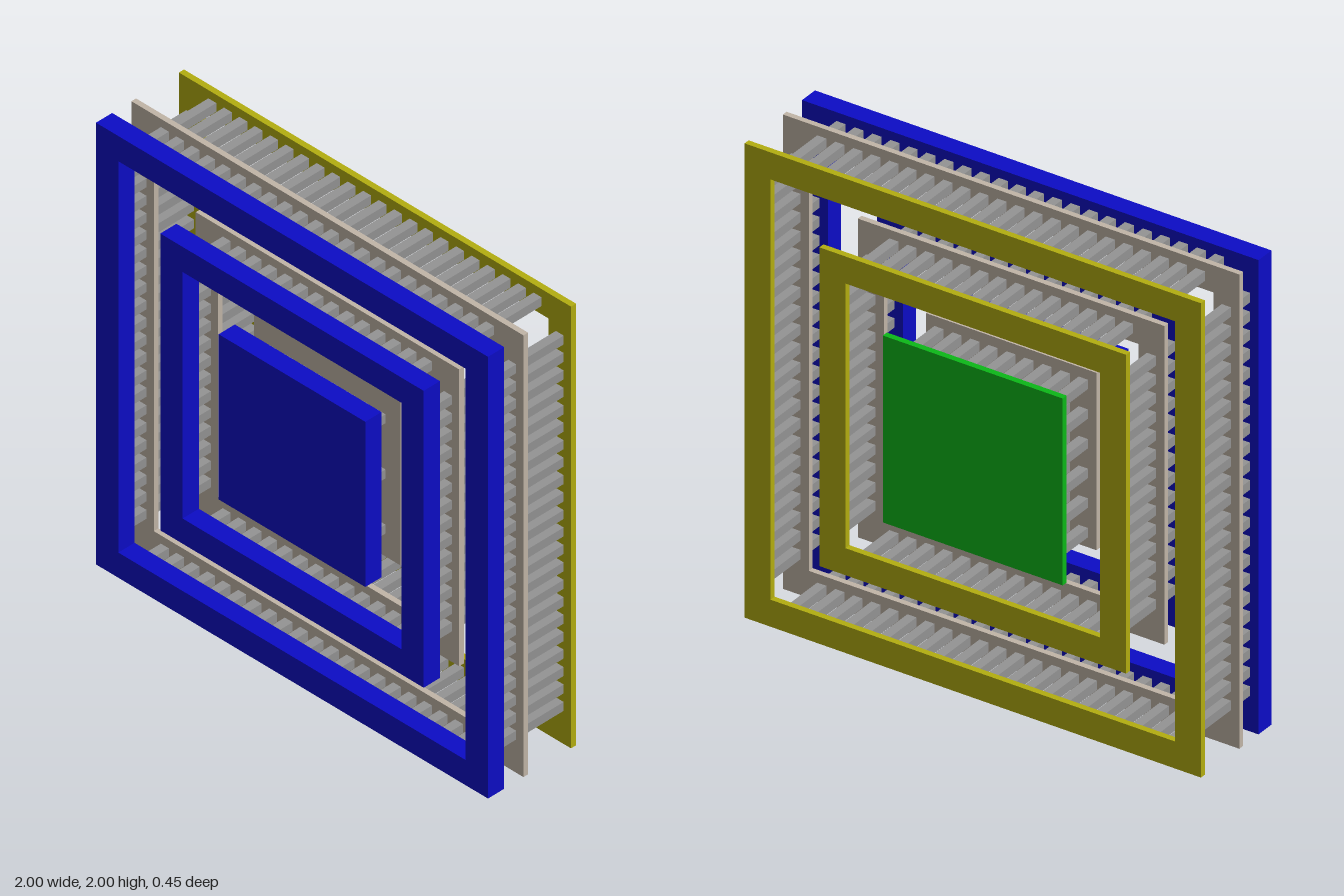
import * as THREE from 'three';

const mat = (name, color) => {
  const m = new THREE.MeshStandardMaterial({ color });
  m.name = name;
  return m;
};

export function createModel() {
  const blue = mat('blue', 0x0c0cc6);
  const olive = mat('olive yellow', 0xb4ae10);
  const green = mat('green', 0x0cb818);
  const beige = mat('beige', 0xc2b6a8);
  const grey = mat('grey', 0x949494);

  const model = new THREE.Group();
  model.name = 'layeredPanel';

  // Depth of each layer, [back, front]
  const FRONT = [0.143, 0.226], MIDDLE = [0.02, 0.044], BACK = [-0.226, -0.2];

  const add = (parent, name, geometry, material, x, y, z) => {
    const mesh = new THREE.Mesh(geometry, material);
    mesh.name = name;
    mesh.position.set(x, y, z);
    parent.add(mesh);
  };

  // Square plate, with a square hole when inner > 0
  function plate(parent, name, outer, inner, [z0, z1], material) {
    const square = (h, Type) => new Type([[-h, -h], [h, -h], [h, h], [-h, h]].map(([x, y]) => new THREE.Vector2(x, y)));
    const shape = square(outer, THREE.Shape);
    if (inner > 0) shape.holes.push(square(inner, THREE.Path));
    const geometry = new THREE.ExtrudeGeometry(shape, { depth: z1 - z0, bevelEnabled: false });
    add(parent, name, geometry, material, 0, 1, z0);
  }

  // Square peg running between two layers
  const PEG = 0.04;
  function peg(parent, x, y, z0, z1) {
    add(parent, 'peg', new THREE.BoxGeometry(PEG, PEG, z1 - z0), grey, x, 1 + y, (z0 + z1) / 2);
  }

  // count evenly spaced positions centred on zero
  const spread = (count, step) => Array.from({ length: count }, (_, i) => (i - (count - 1) / 2) * step);
  const STEP = 0.079;

  // Ring frames: three layers joined by a row of pegs along each side
  function ring(name, outer, inner, count) {
    const group = new THREE.Group();
    group.name = name;
    plate(group, 'frontFrame', outer, inner, FRONT, blue);
    plate(group, 'middleFrame', outer, inner, MIDDLE, beige);
    plate(group, 'backFrame', outer, inner, BACK, olive);
    const line = (outer + inner) / 2;
    for (const [z0, z1] of [[BACK[1], MIDDLE[0]], [MIDDLE[1], FRONT[0]]]) {
      for (const t of spread(count, STEP)) {
        for (const side of [-line, line]) {
          peg(group, t, side, z0, z1);
          peg(group, side, t, z0, z1);
        }
      }
    }
    model.add(group);
  }
  ring('outerRing', 1, 0.886, 22);
  ring('innerRing', 0.672, 0.558, 14);

  // Centre block: solid plates joined by grids of pegs
  const centre = new THREE.Group();
  centre.name = 'centreBlock';
  plate(centre, 'frontPlate', 0.374, 0, FRONT, blue);
  plate(centre, 'middlePlate', 0.374, 0, MIDDLE, beige);
  plate(centre, 'backPlate', 0.394, 0, BACK, green);
  for (const x of spread(9, STEP))
    for (const y of spread(6, 0.125)) peg(centre, x, y, BACK[1], MIDDLE[0]);
  for (const x of spread(8, STEP))
    for (const y of spread(3, 0.25)) peg(centre, x, y, MIDDLE[1], FRONT[0]);
  model.add(centre);

  return model;
}
